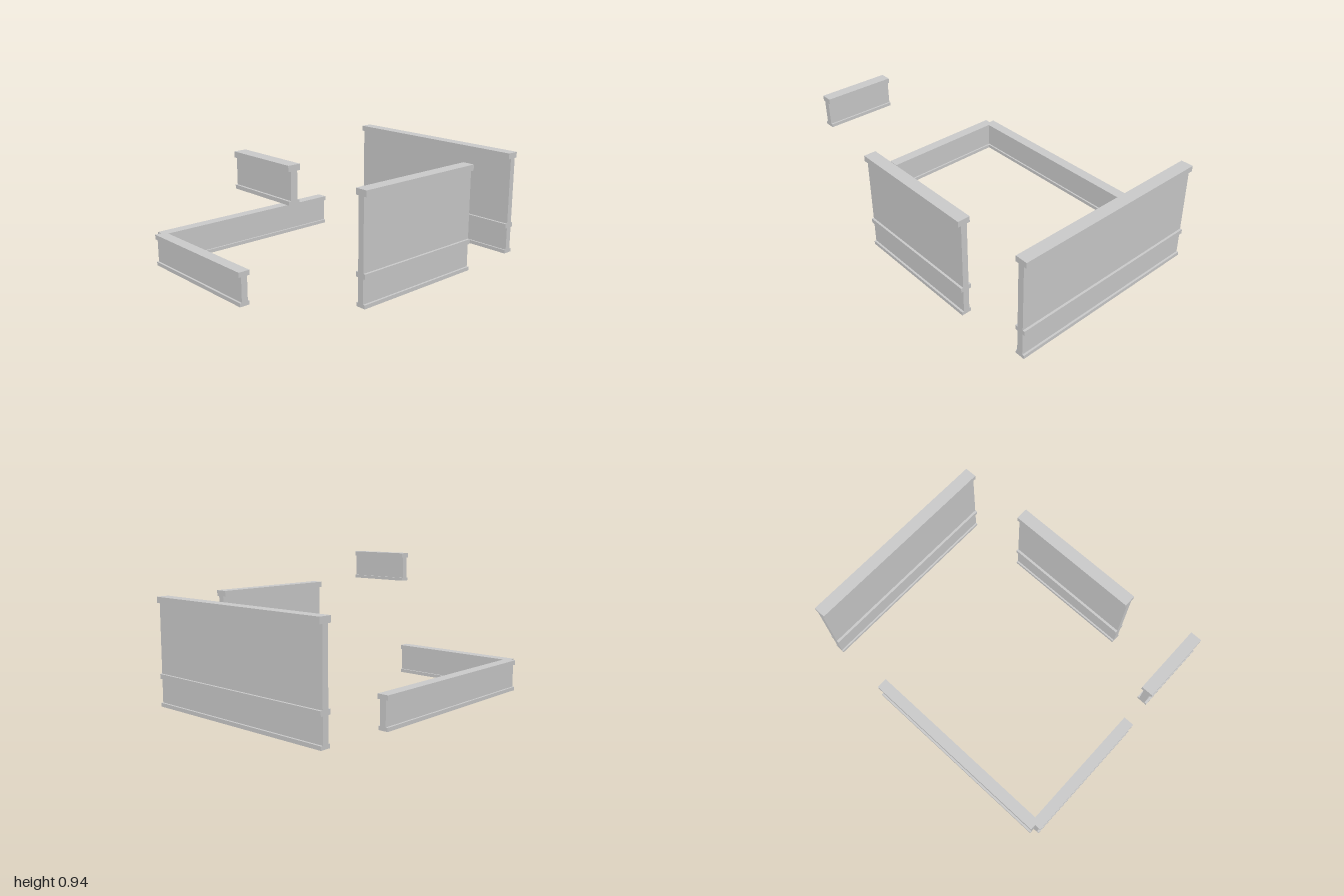
import * as THREE from 'three';

const MODULE = 0.478; // length of one wall unit
const WEB = 0.043;    // panel thickness
const material = new THREE.MeshStandardMaterial({ color: 0xcccccc, flatShading: true });

function addBox(parent, name, length, y0, y1, depth, z = 0) {
  const mesh = new THREE.Mesh(new THREE.BoxGeometry(length, y1 - y0, depth), material);
  mesh.name = name;
  mesh.position.set(0, (y0 + y1) / 2, z);
  parent.add(mesh);
}

function rect(target, x0, x1, halfDepth) {
  target.moveTo(x0, -halfDepth);
  target.lineTo(x1, -halfDepth);
  target.lineTo(x1, halfDepth);
  target.lineTo(x0, halfDepth);
  target.closePath();
  return target;
}

// Plinth with one recess per unit in its underside
function addPlinth(parent, units, height, depth) {
  const half = units * MODULE / 2;
  const shape = rect(new THREE.Shape(), -half, half, depth / 2);
  for (let i = 0; i < units; i++) {
    const x = -half + i * MODULE;
    shape.holes.push(rect(new THREE.Path(), x + 0.03, x + MODULE - 0.03, WEB / 2 - 0.001));
  }
  const geometry = new THREE.ExtrudeGeometry(shape, { depth: height, bevelEnabled: false });
  geometry.rotateX(-Math.PI / 2);
  const mesh = new THREE.Mesh(geometry, material);
  mesh.name = 'plinth';
  mesh.position.z = 0.002;
  parent.add(mesh);
}

// Wall running along x, outer face towards +z
function makeWall(name, units, { height, capHeight, capDepth, plinthHeight = 0.025, rail = false }) {
  const wall = new THREE.Group();
  wall.name = name;
  const length = units * MODULE;
  addPlinth(wall, units, plinthHeight, 0.069);
  addBox(wall, 'panel', length, plinthHeight, height - capHeight, WEB, 0.001);
  addBox(wall, 'cap', length, height - capHeight, height, capDepth);
  if (rail) addBox(wall, 'middleRail', length, 0.185, 0.217, 0.076);
  return wall;
}

export function createModel() {
  const model = new THREE.Group();
  const low = { height: 0.217, capHeight: 0.032, capDepth: 0.077 };
  const tall = { height: 0.72, capHeight: 0.04, capDepth: 0.086, rail: true };
  const place = (wall, x, y, z, turn = 0) => {
    wall.position.set(x, y, z);
    wall.rotation.y = turn;
    model.add(wall);
  };

  // Low walls meeting at the front corner
  place(makeWall('frontLowWall', 2, low), -0.243, 0, 0.962);
  place(makeWall('rightLowWall', 3, low), -0.722, 0, 0.239, -Math.PI / 2);

  // Tall walls
  place(makeWall('backTallWall', 3, tall), -0.004, 0, -0.957, Math.PI);
  place(makeWall('leftTallWall', 2, tall), 0.7125, 0, 0.001, Math.PI / 2);

  // Raised short wall above the front opening
  const raised = { height: 0.213, capHeight: 0.034, capDepth: 0.077, plinthHeight: 0.022 };
  place(makeWall('raisedWall', 1, raised), 0.474, 0.723, 0.962);

  return model;
}
